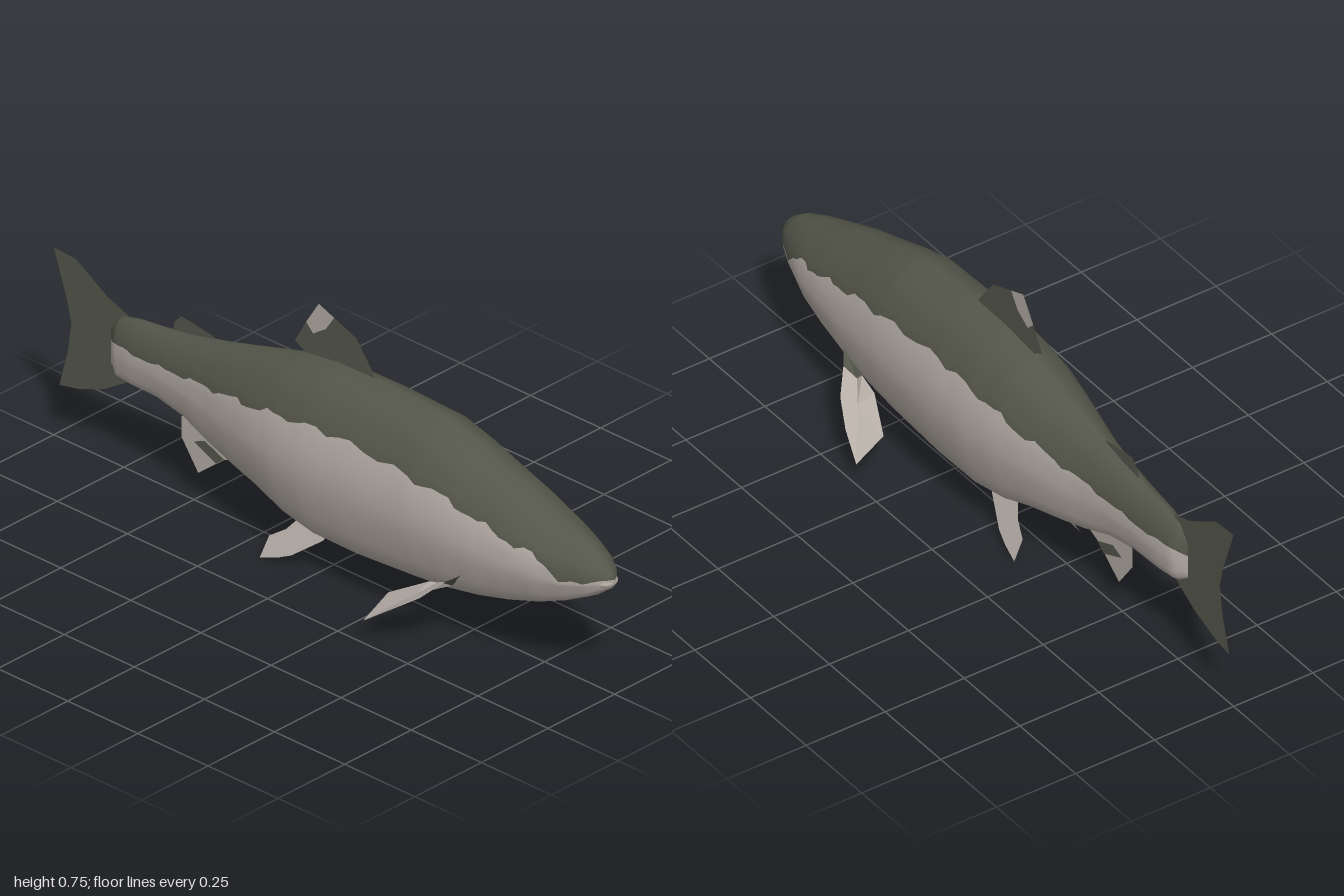
import * as THREE from 'three';

const dark = new THREE.MeshStandardMaterial({ color: 0x55564a, side: THREE.DoubleSide });
dark.name = 'darkOlive';
const pale = new THREE.MeshStandardMaterial({ color: 0xb4aca5, side: THREE.DoubleSide });
pale.name = 'paleSilver';

// Body stations: z, top y, bottom y, half width, y of the colour line
const stations = [
  [1.0, 0.348, 0.33, 0.0, 0.344], [0.99, 0.36, 0.315, 0.02, 0.344], [0.97, 0.38, 0.3, 0.04, 0.338],
  [0.94, 0.402, 0.277, 0.06, 0.33], [0.88, 0.43, 0.245, 0.085, 0.335], [0.8, 0.46, 0.212, 0.11, 0.385],
  [0.7, 0.502, 0.178, 0.126, 0.405], [0.6, 0.535, 0.152, 0.138, 0.43], [0.5, 0.572, 0.133, 0.146, 0.455],
  [0.39, 0.604, 0.121, 0.152, 0.47], [0.18, 0.612, 0.107, 0.155, 0.49], [0.02, 0.61, 0.107, 0.152, 0.48],
  [-0.1, 0.595, 0.128, 0.14, 0.465], [-0.2, 0.567, 0.163, 0.122, 0.445], [-0.3, 0.54, 0.185, 0.1, 0.43],
  [-0.4, 0.515, 0.21, 0.077, 0.412], [-0.5, 0.492, 0.25, 0.062, 0.4], [-0.6, 0.476, 0.268, 0.052, 0.388],
  [-0.7, 0.465, 0.266, 0.043, 0.385], [-0.76, 0.45, 0.268, 0.032, 0.383], [-0.795, 0.4, 0.295, 0.0, 0.365],
];

// Cross-section: relative width at relative height t
const section = [[0, 0], [0.08, 0.66], [0.2, 0.84], [0.38, 0.99], [0.5, 1.01], [0.67, 0.98], [0.8, 0.79], [0.91, 0.54], [0.97, 0.25], [1, 0]];
function widthAt(t) {
  const k = Math.max(1, section.findIndex(p => p[0] >= t));
  const [a, b] = [section[k - 1], section[k]];
  return THREE.MathUtils.lerp(a[1], b[1], (t - a[0]) / (b[0] - a[0]));
}

function makeBody() {
  const rows = [];
  const steps = 4;
  stations.forEach((s, i) => {
    const n = stations[i + 1];
    if (!n) return rows.push(s);
    for (let k = 0; k < steps; k++) rows.push(s.map((v, c) => THREE.MathUtils.lerp(v, n[c], k / steps)));
  });
  const pos = [];
  let count = 0;
  for (const [z, top, bottom, w, line] of rows) {
    // Slightly ragged boundary between back and belly
    const wobble = 0.006 * Math.sin(z * 41) + 0.004 * Math.sin(z * 97 + 1);
    const fade = Math.min(1, w / 0.08);
    const L = THREE.MathUtils.clamp((line + wobble * fade - bottom) / (top - bottom), 0.42, 0.82);
    const mix = f => THREE.MathUtils.lerp(0.91, L, f);
    const low = f => THREE.MathUtils.lerp(L, 0.38, f);
    const ts = [1, 0.97, 0.91, mix(0.33), mix(0.67), L, low(0.33), low(0.67), 0.38, 0.2, 0.08, 0];
    const half = ts.map(t => [w * widthAt(t), bottom + t * (top - bottom)]);
    const ring = [...half, ...half.slice(1, -1).reverse().map(([x, y]) => [-x, y])];
    count = ring.length;
    ring.forEach(([x, y]) => pos.push(x, y, z));
  }
  const back = [], belly = [];
  for (let i = 0; i < rows.length - 1; i++) {
    for (let j = 0; j < count; j++) {
      const a = i * count + j, b = i * count + (j + 1) % count, c = a + count, d = b + count;
      (j < 5 || j >= count - 5 ? back : belly).push(a, b, c, b, d, c);
    }
  }
  const geo = new THREE.BufferGeometry();
  geo.setAttribute('position', new THREE.Float32BufferAttribute(pos, 3));
  geo.setIndex([...back, ...belly]);
  geo.addGroup(0, back.length, 0);
  geo.addGroup(back.length, belly.length, 1);
  geo.computeVertexNormals();
  const mesh = new THREE.Mesh(geo, [dark, pale]);
  mesh.name = 'body';
  return mesh;
}

// Thin panel: a fan of triangles about the middle of an outline of [x, y, z] points
function panel(name, points, material) {
  const hub = [0, 1, 2].map(c => points.reduce((s, p) => s + p[c], 0) / points.length);
  const pos = points.flatMap((p, i) => [...hub, ...p, ...points[(i + 1) % points.length]]);
  const geo = new THREE.BufferGeometry();
  geo.setAttribute('position', new THREE.Float32BufferAttribute(pos, 3));
  geo.computeVertexNormals();
  const mesh = new THREE.Mesh(geo, material);
  mesh.name = name;
  return mesh;
}
const flat = pts => pts.map(([z, y]) => [0, y, z]);

export function createModel() {
  const fish = new THREE.Group();
  fish.name = 'fish';
  fish.add(makeBody());

  // Pale lip at the snout
  const lip = new THREE.Mesh(new THREE.SphereGeometry(1, 16, 10), pale);
  lip.scale.set(0.034, 0.016, 0.03);
  lip.position.set(0, 0.331, 0.969);
  lip.name = 'lip';
  fish.add(lip);

  // Fins on the centre line
  fish.add(
    panel('dorsalFin', flat([[0.16, 0.59], [0.145, 0.617], [0.08, 0.705], [0, 0.735], [-0.03, 0.69], [-0.075, 0.66], [-0.11, 0.6], [-0.08, 0.57]]), dark),
    panel('dorsalFinTip', flat([[0, 0.735], [-0.055, 0.756], [-0.1, 0.685], [-0.075, 0.66], [-0.03, 0.69]]), pale),
    panel('dorsalFinRear', flat([[-0.075, 0.66], [-0.1, 0.685], [-0.14, 0.615], [-0.11, 0.6]]), dark),
    panel('adiposeFin', flat([[-0.41, 0.5], [-0.43, 0.515], [-0.5, 0.525], [-0.545, 0.53], [-0.57, 0.505], [-0.575, 0.47]]), dark),
    panel('tailFin', flat([[-0.72, 0.455], [-0.81, 0.488], [-0.92, 0.555], [-1, 0.56], [-0.955, 0.43], [-0.937, 0.36], [-0.95, 0.27], [-0.98, 0.16], [-0.91, 0.175], [-0.82, 0.21], [-0.725, 0.268]]), dark),
    panel('analFin', flat([[-0.34, 0.185], [-0.39, 0.165], [-0.485, 0.09], [-0.545, 0.175], [-0.545, 0.235], [-0.49, 0.26], [-0.4, 0.225]]), pale),
  );
  const analPatch = panel('analFinPatch', flat([[-0.39, 0.166], [-0.42, 0.143], [-0.5, 0.178], [-0.46, 0.195]]), dark);
  for (const side of [1, -1]) {
    const patch = analPatch.clone();
    patch.position.x = side * 0.002;
    fish.add(patch);
  }

  // Paired fins
  const pelvic = pts => pts.map(([z, y]) => [0.04 + (0.125 - y) * 0.55, y, z]);
  for (const side of [1, -1]) {
    const pair = new THREE.Group();
    pair.name = side > 0 ? 'leftFins' : 'rightFins';
    pair.scale.x = side;
    pair.add(
      panel('pelvicFin', pelvic([[0.03, 0.135], [0.01, 0.1], [-0.07, 0.04], [-0.11, 0.022], [-0.115, 0.09], [-0.08, 0.135]]), pale),
      panel('pelvicFinTip', pelvic([[-0.11, 0.022], [-0.165, 0.005], [-0.16, 0.06], [-0.115, 0.09]]), pale),
      panel('pectoralFinRoot', [[0.115, 0.255, 0.59], [0.15, 0.222, 0.54], [0.135, 0.2, 0.5], [0.105, 0.185, 0.52]], dark),
      panel('pectoralFin', [[0.15, 0.222, 0.54], [0.195, 0.172, 0.49], [0.228, 0.125, 0.42], [0.25, 0.07, 0.34], [0.16, 0.12, 0.345], [0.115, 0.175, 0.45], [0.105, 0.185, 0.52], [0.135, 0.2, 0.5]], pale),
    );
    fish.add(pair);
  }
  return fish;
}
